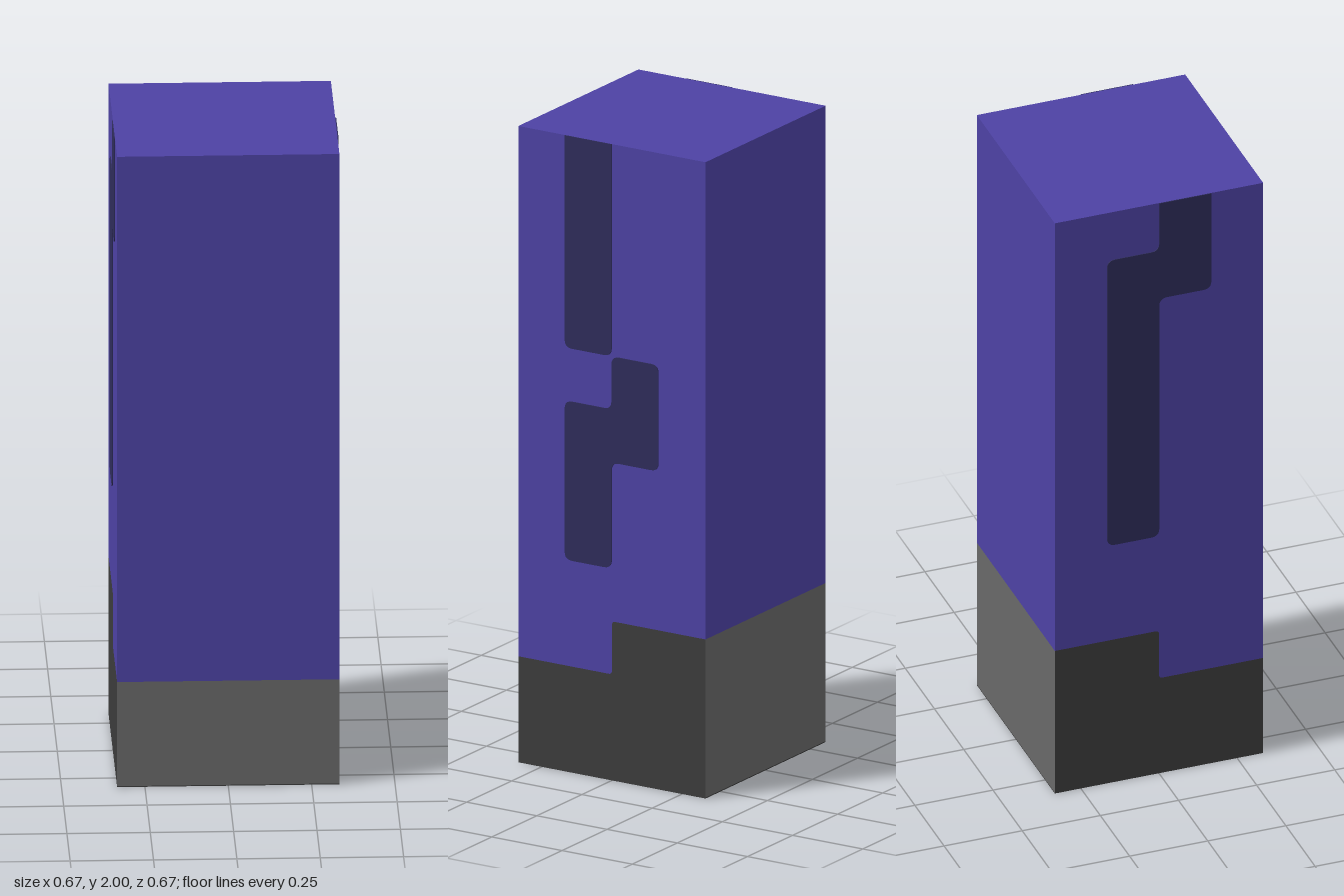
import * as THREE from 'three';

const U = 1 / 6; // module of the whole design
const HALF = 2 * U; // half width of the block
const PLATE = 0.003;

// Closed outline from [u, v, sharp] points, u running towards -z; corners are rounded unless sharp
function outline(points, radius) {
  const shape = new THREE.Shape();
  const n = points.length;
  points.forEach(([u, v, sharp], i) => {
    const corner = new THREE.Vector2(u, v);
    const towards = ([a, b]) => new THREE.Vector2(a, b).sub(corner).setLength(sharp ? 0 : radius).add(corner);
    const start = towards(points[(i + n - 1) % n]);
    const end = towards(points[(i + 1) % n]);
    if (i === 0) shape.moveTo(start.x, start.y);
    else shape.lineTo(start.x, start.y);
    if (!sharp) shape.quadraticCurveTo(u, v, end.x, end.y);
  });
  shape.closePath();
  return shape;
}

// Extrude an outline along x, from x0 to x0 + depth
function extrudeX(shape, x0, depth) {
  return new THREE.ExtrudeGeometry(shape, { depth, bevelEnabled: false, curveSegments: 5 })
    .rotateY(Math.PI / 2)
    .translate(x0, 0, 0);
}

export function createModel() {
  const group = new THREE.Group();
  const material = (name, color) => {
    const m = new THREE.MeshStandardMaterial({ color });
    m.name = name;
    return m;
  };
  const purple = material('purple', 0x4d42a4);
  const navy = material('dark navy', 0x2e2c5a);
  const grey = material('grey', 0x686868);
  const darkGrey = material('dark grey', 0x3c3c3c);

  const add = (name, geometry, mat) => {
    const mesh = new THREE.Mesh(geometry, mat);
    mesh.name = name;
    group.add(mesh);
  };

  // Stepped seam between base and body, low at the front and high at the back
  const seam = [[-HALF, 2 * U, true], [0, 2 * U], [0, 3 * U], [HALF, 3 * U, true]];
  const body = outline([...seam, [HALF, 2, true], [-HALF, 2, true]], 0.012);
  add('body', extrudeX(body, -HALF, 2 * HALF), purple);

  // Base: dark sides, lighter front and back, dark underside
  const base = outline([...seam, [HALF, PLATE, true], [-HALF, PLATE, true]], 0.012);
  add('base', extrudeX(base, -HALF, 2 * HALF), [darkGrey, grey]);
  add('underside', new THREE.BoxGeometry(2 * HALF, PLATE, 2 * HALF).translate(0, PLATE / 2, 0), darkGrey);

  // Inlaid stripes on the two sides, in module units
  const stripe = (name, side, points) => {
    const shape = outline(points.map(([u, v]) => [u * U, v * U, v === 12]), 0.026);
    add(name, extrudeX(shape, side > 0 ? HALF : -HALF - PLATE, PLATE), navy);
  };
  stripe('leftUpperStripe', 1, [[-1, 12], [-1, 8], [0, 8], [0, 12]]);
  stripe('leftLowerStripe', 1, [[-1, 7], [0, 7], [0, 8], [1, 8], [1, 6], [0, 6], [0, 4], [-1, 4]]);
  stripe('rightStripe', -1, [[0, 12], [0, 11], [1, 11], [1, 5], [0, 5], [0, 10], [-1, 10], [-1, 12]]);

  return group;
}
